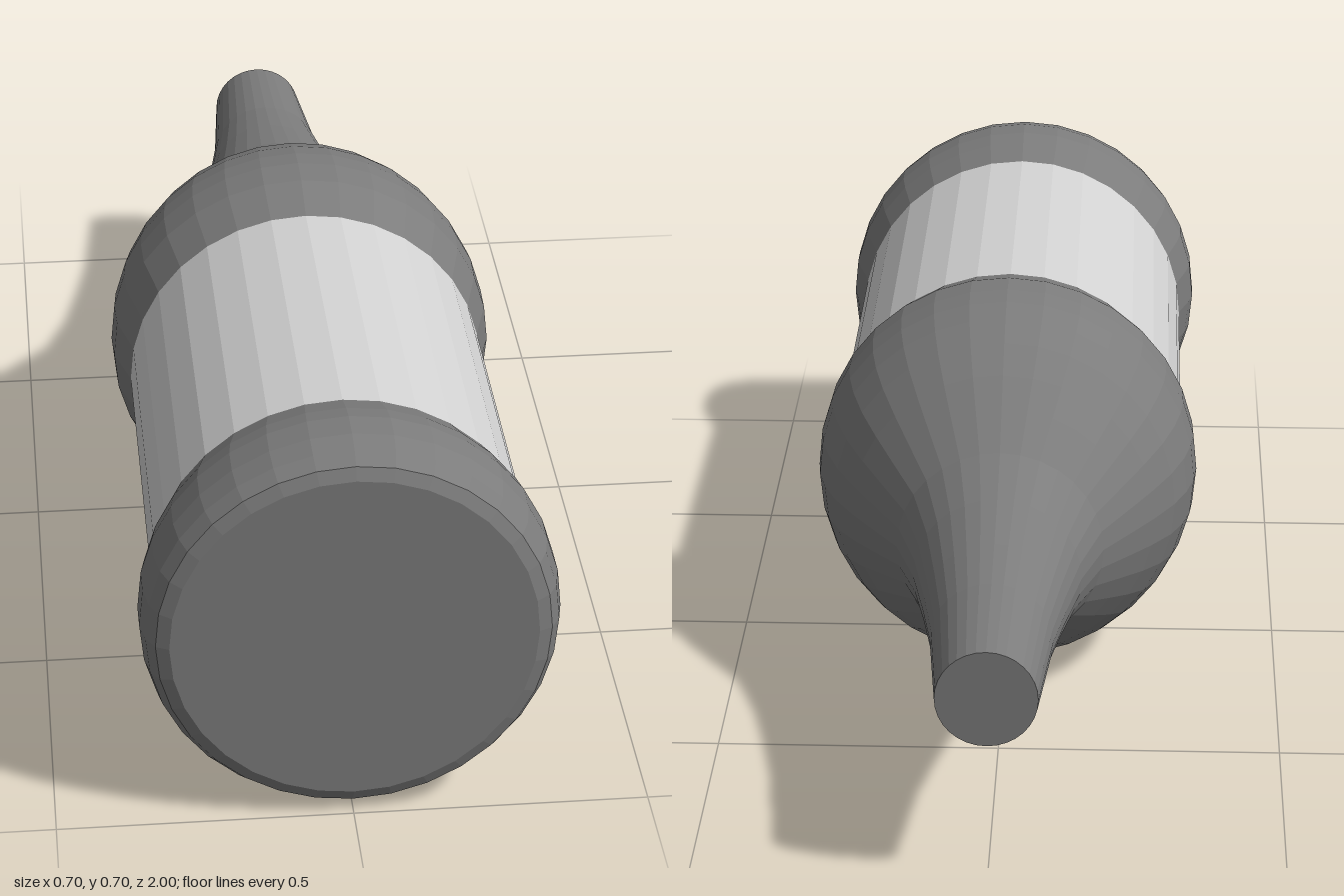
import * as THREE from 'three';

const SIDES = 32;
const RADIUS = 0.35;

// Turn a [radius, z] profile (front to back) around the bottle's long axis
function turned(name, profile, material) {
  const points = profile.map(([r, z]) => new THREE.Vector2(r, -z));
  const geometry = new THREE.LatheGeometry(points, SIDES);
  geometry.rotateX(-Math.PI / 2);
  geometry.translate(0, RADIUS, 0);
  const mesh = new THREE.Mesh(geometry, material);
  mesh.name = name;
  return mesh;
}

export function createModel() {
  const glass = new THREE.MeshStandardMaterial({ color: 0x7c7c7c, flatShading: true });
  glass.name = 'dark grey glass';
  const paper = new THREE.MeshStandardMaterial({ color: 0xd2d2d2, flatShading: true });
  paper.name = 'light grey label';

  const bottle = new THREE.Group();
  bottle.name = 'bottle';
  bottle.add(
    // Rounded foot with its flat underside
    turned('base', [
      [0, 1], [0.305, 1], [0.327, 0.99], [0.342, 0.965], [0.35, 0.925],
      [0.35, 0.87], [0.342, 0.83], [0.322, 0.77],
    ], glass),
    // Straight waist wrapped by the label
    turned('label', [[0.322, 0.77], [0.322, 0.115]], paper),
    // Swelling shoulder
    turned('shoulder', [
      [0.322, 0.115], [0.348, 0.025], [0.35, -0.04], [0.345, -0.09], [0.332, -0.145],
      [0.309, -0.205], [0.273, -0.27], [0.235, -0.33], [0.183, -0.41],
    ], glass),
    // Tapering neck closed at the mouth
    turned('neck', [
      [0.183, -0.41], [0.147, -0.53], [0.123, -0.66], [0.104, -0.78], [0.085, -1], [0, -1],
    ], glass),
  );
  return bottle;
}
